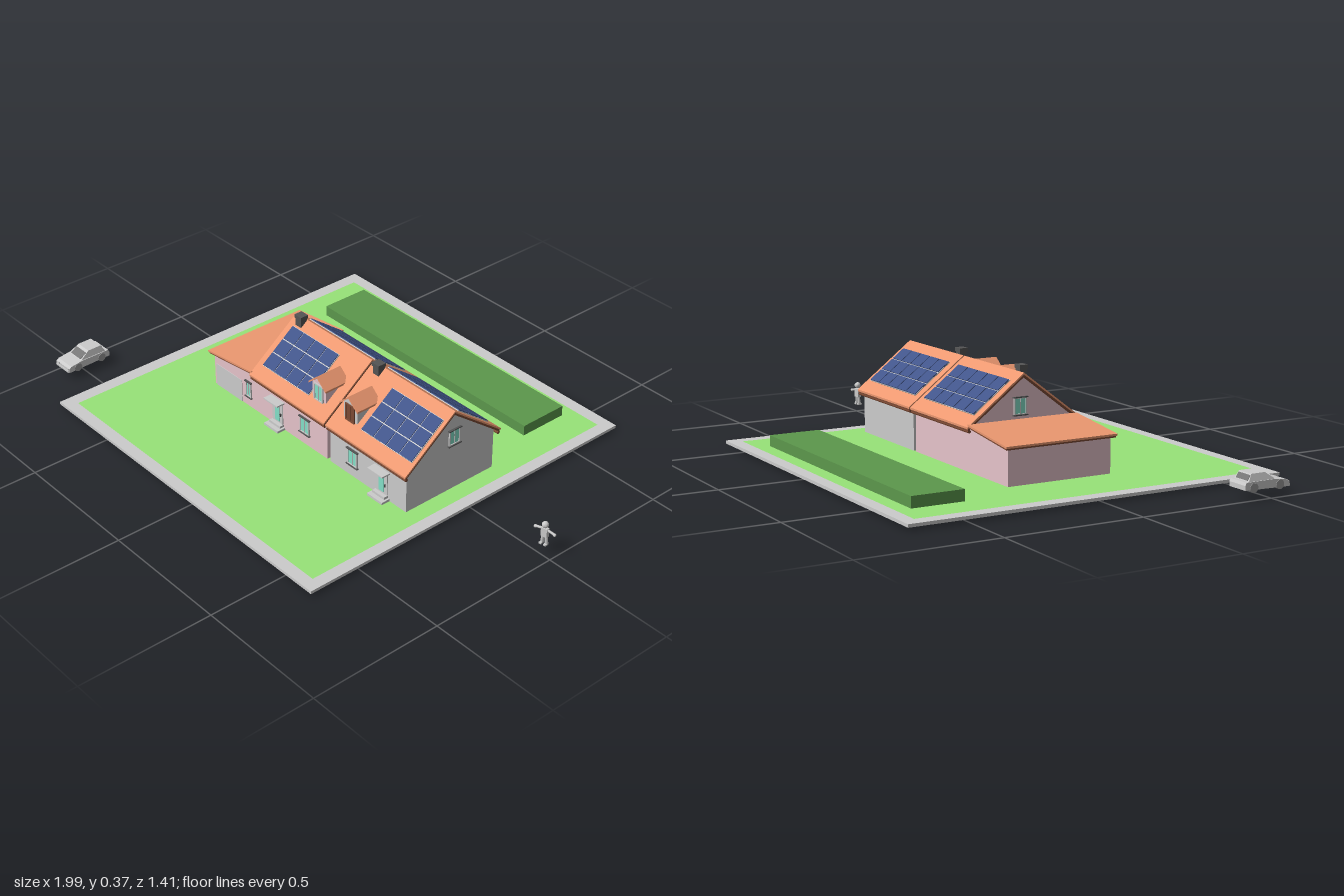
import * as THREE from 'three';

const mats = {};
const mat = (c) => (mats[c] ??= new THREE.MeshStandardMaterial({ color: c, flatShading: true }));
const GREY = 0xcccccc, PINK = 0xe6c3cb, TILE = 0xec9870, BROWN = 0x7c4a34, TEAL = 0x84e0c8,
  DARK = 0x555555, GRASS = 0x98e478, HEDGE = 0x5c984c, SOLAR = 0x42558a, WHITE = 0xe4e4e4;

function add(parent, name, geo, color) {
  const m = new THREE.Mesh(geo, mat(color));
  m.name = name;
  parent.add(m);
  return m;
}

// Box given by its limits on each axis
function box(parent, name, color, x0, x1, y0, y1, z0, z1) {
  const m = add(parent, name, new THREE.BoxGeometry(x1 - x0, y1 - y0, z1 - z0), color);
  m.position.set((x0 + x1) / 2, (y0 + y1) / 2, (z0 + z1) / 2);
  return m;
}

// Outline in [x, y], pulled along z
function extrudeZ(pts, z0, z1, hole) {
  const s = new THREE.Shape(pts.map((p) => new THREE.Vector2(...p)));
  if (hole) s.holes.push(new THREE.Path(hole.map((p) => new THREE.Vector2(...p))));
  return new THREE.ExtrudeGeometry(s, { depth: z1 - z0, bevelEnabled: false }).translate(0, 0, z0);
}

// Outline in [z, y], pulled along x
const extrudeX = (pts, x0, x1) => extrudeZ(pts.map(([z, y]) => [-z, y]), x0, x1).rotateY(Math.PI / 2);

// Upside-down V of thickness t
const chevron = (w, eave, peak, t) =>
  [[-w, eave], [0, peak], [w, eave], [w, eave - t], [0, peak - t], [-w, eave - t]];

const RIDGE = 0.347, EAVE = 0.18, HALF = 0.22;
const PITCH = (RIDGE - EAVE) / HALF, ANGLE = Math.atan(PITCH);

// Framed solar field lying on the front (side 1) or back (side -1) slope
function solarField(parent, x0, x1, cols, side) {
  const g = new THREE.Group();
  g.name = 'solarPanels';
  const w = x1 - x0, h = 0.178, rows = 3, gap = 0.004;
  const cw = w / cols, ch = h / rows;
  box(g, 'panelRails', WHITE, -w / 2, w / 2, 0, 0.003, -h / 2, h / 2);
  for (let i = 0; i < cols; i++)
    for (let j = 0; j < rows; j++) {
      const x = -w / 2 + i * cw, z = -h / 2 + j * ch;
      box(g, 'solarPanel', SOLAR, x + gap / 2, x + cw - gap / 2, 0.001, 0.006, z + gap / 2, z + ch - gap / 2);
    }
  g.rotation.x = side * ANGLE;
  g.position.set((x0 + x1) / 2, RIDGE - 0.107 * PITCH, side * 0.107);
  parent.add(g);
}

// Window facing +z with its origin at the wall, bottom centre
function makeWindow(w, h, frame = GREY, sills = true) {
  const g = new THREE.Group();
  g.name = 'window';
  const f = 0.005;
  const rect = (a, b) => [[-a, b], [a, b], [a, h - b], [-a, h - b]];
  add(g, 'windowFrame', extrudeZ(rect(w / 2, 0), -0.002, 0.005, rect(w / 2 - f, f)), frame);
  box(g, 'windowGlass', frame === BROWN ? BROWN : TEAL, -w / 2 + f, w / 2 - f, f, h - f, -0.002, 0.002);
  box(g, 'mullion', frame, -0.0015, 0.0015, 0, h, 0, 0.004);
  if (sills)
    for (const y of [-0.002, h - 0.002])
      box(g, 'windowSill', DARK, -w / 2 - 0.004, w / 2 + 0.004, y, y + 0.004, 0, 0.008);
  return g;
}

// Glazed front door with canopy and steps
function entrance(parent, x) {
  const g = new THREE.Group();
  g.name = 'entrance';
  box(g, 'doorFrame', WHITE, -0.028, 0.028, 0.02, 0.13, 0.19, 0.203);
  box(g, 'doorGlass', TEAL, -0.012, 0.012, 0.045, 0.118, 0.2, 0.205);
  box(g, 'doorHandle', DARK, 0.018, 0.021, 0.07, 0.082, 0.2, 0.208);
  box(g, 'canopy', GREY, -0.038, 0.038, 0.13, 0.135, 0.195, 0.235);
  box(g, 'lowerStep', GREY, -0.038, 0.038, 0.02, 0.029, 0.195, 0.235);
  box(g, 'upperStep', GREY, -0.03, 0.03, 0.029, 0.038, 0.195, 0.218);
  g.position.x = x;
  parent.add(g);
}

function dormer(parent, x, wall, frame) {
  const g = new THREE.Group();
  g.name = 'dormer';
  add(g, 'dormerWalls', extrudeZ([[-0.035, 0.19], [0.035, 0.19], [0.035, 0.28], [0, 0.309], [-0.035, 0.28]], 0.085, 0.172), wall);
  add(g, 'dormerRoof', extrudeZ(chevron(0.046, 0.276, 0.316, 0.007), 0.076, 0.182), TILE);
  const w = makeWindow(0.048, 0.068, frame, false);
  w.position.set(0, 0.212, 0.172);
  g.add(w);
  g.position.x = x;
  parent.add(g);
}

function house(o) {
  const g = new THREE.Group();
  g.name = 'house';
  const [w0, w1] = o.walls, [r0, r1] = o.roof;
  add(g, 'walls', extrudeX([[-0.2, 0.018], [0.2, 0.018], [0.2, 0.178], [0, 0.33], [-0.2, 0.178]], w0, w1), o.color);
  add(g, 'roofTiles', extrudeX(chevron(HALF, EAVE, RIDGE, 0.007), r0, r1), TILE);
  add(g, 'roofBoards', extrudeX(chevron(HALF - 0.003, EAVE - 0.004, RIDGE - 0.006, 0.01), r0 + 0.002, r1 - 0.002), BROWN);
  for (const s of [-1, 1]) {
    const gutter = add(g, 'gutter', new THREE.CylinderGeometry(0.006, 0.006, r1 - r0 - 0.004, 8), BROWN);
    gutter.rotation.z = Math.PI / 2;
    gutter.position.set((r0 + r1) / 2, 0.164, s * 0.212);
  }
  box(g, 'chimney', DARK, o.chimney - 0.015, o.chimney + 0.015, 0.29, 0.355, 0.002, 0.03);
  box(g, 'chimneyCap', DARK, o.chimney - 0.018, o.chimney + 0.018, 0.355, 0.368, 0, 0.033);
  solarField(g, ...o.front, 4, 1);
  solarField(g, ...o.back, 5, -1);
  dormer(g, o.dormer, o.color, o.dormerFrame);
  entrance(g, o.door);
  const win = makeWindow(0.05, 0.065);
  win.position.set(o.window, 0.065, 0.2);
  g.add(win);
  // Gable window on the outer end
  const gable = makeWindow(0.05, 0.062);
  gable.rotation.y = o.end * Math.PI / 2;
  gable.position.set(o.end > 0 ? w1 : w0, 0.202, -0.013);
  g.add(gable);
  return g;
}

function garage() {
  const g = new THREE.Group();
  g.name = 'garage';
  add(g, 'garageWalls', extrudeZ([[-0.515, 0.018], [-0.28, 0.018], [-0.28, 0.178], [-0.515, 0.149]], -0.2, 0.2), PINK);
  add(g, 'garageRoof', extrudeZ([[-0.535, 0.152], [-0.282, 0.182], [-0.282, 0.189], [-0.535, 0.159]], -0.218, 0.214), TILE);
  add(g, 'garageRoofBoards', extrudeZ([[-0.532, 0.146], [-0.282, 0.176], [-0.282, 0.183], [-0.532, 0.153]], -0.215, 0.211), BROWN);
  box(g, 'garageDoor', GREY, -0.505, -0.355, 0.02, 0.11, 0.195, 0.202);
  const w = makeWindow(0.03, 0.065);
  w.position.set(-0.315, 0.06, 0.2);
  g.add(w);
  return g;
}

function car() {
  const g = new THREE.Group();
  g.name = 'car';
  add(g, 'carBody', extrudeX([[-0.09, 0.034], [0.09, 0.03], [0.09, 0.046], [0.08, 0.053],
    [0.03, 0.06], [-0.085, 0.06], [-0.09, 0.05]], -0.042, 0.042), GREY);
  // Cabin: box whose roof is drawn in towards the middle
  const cabin = new THREE.BoxGeometry(0.078, 0.026, 0.108).translate(0, 0.072, -0.02);
  const p = cabin.attributes.position;
  for (let i = 0; i < p.count; i++)
    if (p.getY(i) > 0.072) p.setXYZ(i, p.getX(i) * 0.82, p.getY(i), p.getZ(i) > -0.02 ? -0.005 : -0.06);
  add(g, 'cabin', cabin, GREY);
  // Windscreens follow the cabin's slopes
  add(g, 'windscreen', extrudeX([[0.032, 0.062], [-0.001, 0.082], [-0.003, 0.08], [0.028, 0.061]], -0.031, 0.031), 0x777777);
  add(g, 'rearScreen', extrudeX([[-0.073, 0.063], [-0.063, 0.081], [-0.06, 0.08], [-0.07, 0.062]], -0.031, 0.031), 0x777777);
  for (const s of [-1, 1]) {
    for (const z of [-0.055, 0.05]) {
      const wheel = add(g, 'wheel', new THREE.CylinderGeometry(0.016, 0.016, 0.012, 16), 0x999999);
      wheel.rotation.z = Math.PI / 2;
      wheel.position.set(s * 0.038, 0.04, z);
    }
    box(g, 'headlight', WHITE, s * 0.03 - 0.008, s * 0.03 + 0.008, 0.04, 0.047, 0.085, 0.092);
  }
  box(g, 'bumper', GREY, -0.04, 0.04, 0.031, 0.038, 0.08, 0.094);
  g.position.set(-0.95, 0, 0.49);
  return g;
}

function person() {
  const g = new THREE.Group();
  g.name = 'person';
  const limb = (name, a, b, r) => {
    const path = new THREE.LineCurve3(new THREE.Vector3(...a), new THREE.Vector3(...b));
    add(g, name, new THREE.TubeGeometry(path, 1, r, 8), GREY).material = limbMat;
  };
  const limbMat = new THREE.MeshStandardMaterial({ color: GREY, side: THREE.DoubleSide });
  add(g, 'head', new THREE.SphereGeometry(0.012, 14, 10), GREY).position.y = 0.112;
  box(g, 'torso', GREY, -0.012, 0.012, 0.066, 0.099, -0.007, 0.007);
  for (const s of [-1, 1]) {
    limb('arm', [s * 0.01, 0.094, 0], [s * 0.037, 0.089, 0], 0.0045);
    add(g, 'hand', new THREE.SphereGeometry(0.006, 8, 6), GREY).position.set(s * 0.038, 0.088, 0);
    limb('leg', [s * 0.006, 0.07, 0], [s * 0.009, 0.04, 0], 0.0055);
    box(g, 'foot', GREY, s * 0.009 - 0.005, s * 0.009 + 0.005, 0.035, 0.041, -0.006, 0.011);
  }
  g.position.set(0.957, 0, -0.015);
  g.rotation.y = 0.15;
  return g;
}

export function createModel() {
  const model = new THREE.Group();
  model.name = 'houseModel';
  // Plot: lawn inside a paved border
  box(model, 'lawn', GRASS, -0.735, 0.59, 0, 0.02, -0.663, 0.66);
  const rect = (x0, x1, y0, y1) => [[x0, y0], [x1, y0], [x1, y1], [x0, y1]];
  const border = extrudeZ(rect(-0.785, 0.635, -0.705, 0.71), 0, 0.011, rect(-0.735, 0.59, -0.66, 0.663));
  add(model, 'pavedBorder', border.rotateX(-Math.PI / 2).translate(0, 0.009, 0), GREY);
  box(model, 'hedge', HEDGE, -0.615, 0.465, 0.018, 0.06, -0.61, -0.417);

  model.add(house({ color: PINK, walls: [-0.28, 0.12], roof: [-0.285, 0.125], chimney: -0.238, front: [-0.258, -0.004],
    back: [-0.255, 0.097], dormer: 0.045, dormerFrame: GREY, door: -0.15, window: 0, end: -1 }));
  model.add(house({ color: GREY, walls: [0.137, 0.525], roof: [0.133, 0.54], chimney: 0.177, front: [0.272, 0.526],
    back: [0.165, 0.517], dormer: 0.21, dormerFrame: BROWN, door: 0.405, window: 0.255, end: 1 }));
  model.add(garage(), car(), person());
  return model;
}
